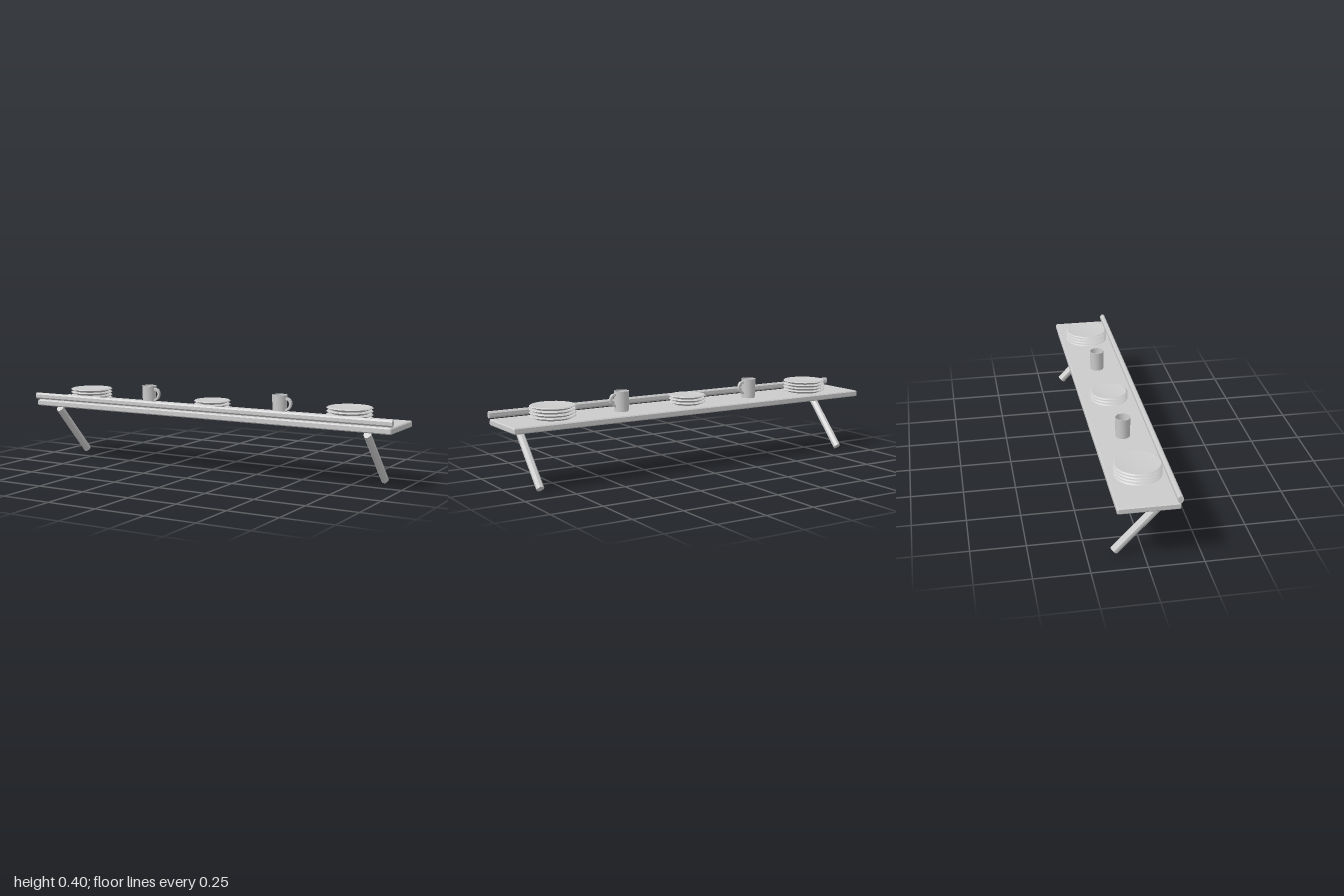
import * as THREE from 'three';
import { toCreasedNormals } from 'three/addons/utils/BufferGeometryUtils.js';

const material = new THREE.MeshStandardMaterial({ color: 0xcccccc, side: THREE.DoubleSide });
const SHELF_TOP = 0.306;

function add(parent, name, geometry) {
  const mesh = new THREE.Mesh(geometry, material);
  mesh.name = name;
  parent.add(mesh);
  return mesh;
}

// Rectangle with cut corners (cw, ch), extruded to a centred bar along z
function chamferedBar(w, h, length, cw, ch, endBevel = 0) {
  const x = w / 2, y = h / 2;
  const section = new THREE.Shape([
    [x - cw, -y], [x, -y + ch], [x, y - ch], [x - cw, y],
    [-x + cw, y], [-x, y - ch], [-x, -y + ch], [-x + cw, -y],
  ].map(([a, b]) => new THREE.Vector2(a, b)));
  const geometry = new THREE.ExtrudeGeometry(section, {
    depth: length - 2 * endBevel,
    bevelEnabled: endBevel > 0,
    bevelThickness: endBevel,
    bevelSize: endBevel,
    bevelOffset: -endBevel,
    bevelSegments: 1,
  });
  return geometry.translate(0, 0, endBevel - length / 2);
}

function lathe(profile, sides) {
  const points = profile.map(([r, y]) => new THREE.Vector2(r, y));
  return toCreasedNormals(new THREE.LatheGeometry(points, sides), 0.5);
}

// Stack of shallow plates
function plateStack(name, x, radius, count) {
  const stack = new THREE.Group();
  stack.name = name;
  const geometry = lathe([
    [0, 0], [radius - 0.03, 0], [radius, 0.0125], [radius - 0.007, 0.0175],
    [radius * 0.7, 0.0145], [radius * 0.35, 0.0125], [0, 0.012],
  ], 20);
  for (let i = 0; i < count; i++) add(stack, 'plate', geometry).position.y = i * 0.0157;
  stack.position.set(x, SHELF_TOP, 0);
  return stack;
}

// Hollow mug with a flat, curved handle towards +x
function mug(name, x) {
  const group = new THREE.Group();
  group.name = name;
  add(group, 'mugBody', lathe([
    [0, 0], [0.034, 0], [0.0355, 0.05], [0.037, 0.098],
    [0.034, 0.098], [0.032, 0.05], [0.029, 0.014], [0.018, 0.008], [0, 0.007],
  ], 16));

  const outline = new THREE.Shape();
  outline.moveTo(0.034, 0.087);
  outline.bezierCurveTo(0.056, 0.087, 0.066, 0.07, 0.064, 0.054);
  outline.bezierCurveTo(0.062, 0.036, 0.05, 0.024, 0.034, 0.02);
  outline.lineTo(0.034, 0.031);
  outline.bezierCurveTo(0.044, 0.034, 0.053, 0.042, 0.054, 0.055);
  outline.bezierCurveTo(0.054, 0.067, 0.048, 0.075, 0.034, 0.076);
  outline.closePath();
  const handle = new THREE.ExtrudeGeometry(outline, { depth: 0.016, bevelEnabled: false, curveSegments: 4 });
  add(group, 'mugHandle', handle.translate(0, 0, -0.008));
  group.position.set(x, SHELF_TOP, 0);
  return group;
}

export function createModel() {
  const model = new THREE.Group();
  model.name = 'wallShelf';

  // Board and the rail in front of the crockery
  const shelf = add(model, 'shelfBoard', chamferedBar(0.276, 0.03, 1.99, 0.005, 0.005, 0.005));
  shelf.rotation.y = Math.PI / 2;
  shelf.position.set(0, SHELF_TOP - 0.015, 0.001);

  const rail = add(model, 'frontRail', chamferedBar(0.024, 0.032, 2, 0.007, 0.008));
  rail.rotation.y = Math.PI / 2;
  rail.position.set(0, 0.327, 0.133);

  // Slanted braces running back and down to the wall
  const low = new THREE.Vector3(0, 0.0135, -0.1285);
  const high = new THREE.Vector3(0, 0.265, 0.107);
  const along = high.clone().sub(low);
  const braceGeometry = chamferedBar(0.036, 0.039, along.length(), 0.011, 0.014);
  for (const side of [-1, 1]) {
    const brace = add(model, side > 0 ? 'leftBrace' : 'rightBrace', braceGeometry);
    brace.rotation.x = -Math.atan2(along.y, along.z);
    brace.position.copy(low).add(high).multiplyScalar(0.5).setX(side * 0.87);
  }

  // Crockery
  for (const side of [-1, 1]) {
    const label = side > 0 ? 'left' : 'right';
    model.add(plateStack(label + 'PlateStack', side * 0.738, 0.11, 4));
    model.add(mug(label + 'Mug', side * 0.374));
  }
  model.add(plateStack('middlePlateStack', 0, 0.092, 3));

  return model;
}
